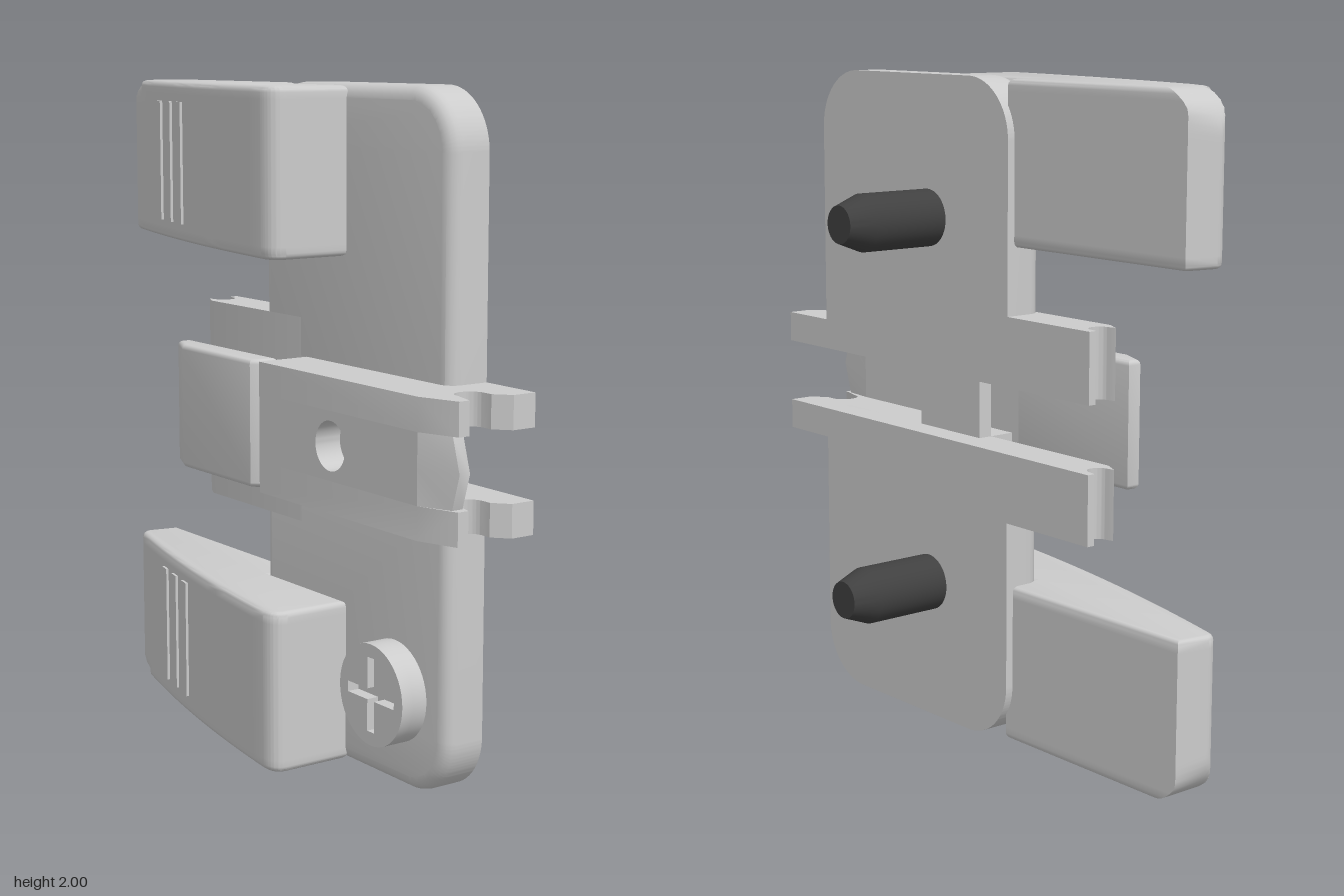
import * as THREE from 'three';
import { toCreasedNormals } from 'three/addons/utils/BufferGeometryUtils.js';

const grey = new THREE.MeshStandardMaterial({ color: 0xcccccc });
const dark = new THREE.MeshStandardMaterial({ color: 0x404040 });

function add(parent, name, geo, mat = grey) {
  const flat = geo.index ? geo.toNonIndexed() : geo;
  const mesh = new THREE.Mesh(toCreasedNormals(flat, 0.6), mat);
  mesh.name = name;
  parent.add(mesh);
  return mesh;
}

function box(x0, x1, y0, y1, z0, z1) {
  return new THREE.BoxGeometry(x1 - x0, y1 - y0, z1 - z0)
    .translate((x0 + x1) / 2, (y0 + y1) / 2, (z0 + z1) / 2);
}

function extrude(shape, length, bevel = 0, steps = 1) {
  return new THREE.ExtrudeGeometry(shape, {
    depth: length - 2 * bevel, steps, curveSegments: 24,
    bevelEnabled: bevel > 0, bevelSize: bevel, bevelThickness: bevel,
    bevelOffset: -bevel, bevelSegments: 4,
  }).translate(0, 0, bevel);
}
// Shape drawn in (x, -z), raised from y0 to y1
const upright = (shape, y0, y1, bevel, steps) =>
  extrude(shape, y1 - y0, bevel, steps).rotateX(-Math.PI / 2).translate(0, y0, 0);
// Shape drawn in (-z, y), extended from x0 to x1
const sideways = (shape, x0, x1, bevel) =>
  extrude(shape, x1 - x0, bevel).rotateY(Math.PI / 2).translate(x0, 0, 0);

const polygon = (pts) => new THREE.Shape(pts.map(([x, z]) => new THREE.Vector2(x, -z)));

function edit(geo, rule) {
  const p = geo.attributes.position, v = new THREE.Vector3();
  for (let i = 0; i < p.count; i++) {
    rule(v.fromBufferAttribute(p, i));
    p.setXYZ(i, v.x, v.y, v.z);
  }
  return geo;
}

// Reflection in the plane y = 1, with corner order put right
function mirrored(source) {
  const geo = source.index ? source.toNonIndexed() : source.clone();
  const p = geo.attributes.position, a = new THREE.Vector3(), b = new THREE.Vector3();
  edit(geo, (v) => { v.y = 2 - v.y; });
  for (let i = 0; i < p.count; i += 3) {
    a.fromBufferAttribute(p, i + 1);
    b.fromBufferAttribute(p, i + 2);
    p.setXYZ(i + 1, b.x, b.y, b.z);
    p.setXYZ(i + 2, a.x, a.y, a.z);
  }
  return geo;
}

function pair(parent, name, geo) {
  add(parent, 'upper' + name, geo);
  add(parent, 'lower' + name, mirrored(geo));
}

function plateHalf() {
  const b = -0.71, e = 0.2, r = 0.18;
  const s = new THREE.Shape();
  s.moveTo(b, 1.1);
  s.lineTo(e, 1.1);
  s.lineTo(e, 2 - r);
  s.absarc(e - r, 2 - r, r, 0, Math.PI / 2);
  s.lineTo(b + r, 2);
  s.absarc(b + r, 2 - r, r, Math.PI / 2, Math.PI);
  s.lineTo(b, 1.1);
  // rounded on the -x side only
  return edit(sideways(s, -0.105, 0.075, 0.04), (v) => { v.x = Math.min(v.x, 0.025); });
}

// Bowed outer face of the handles, in (x, -z)
const bow = new THREE.QuadraticBezierCurve(
  new THREE.Vector2(-0.36, -0.17), new THREE.Vector2(-0.295, 0.365), new THREE.Vector2(-0.14, 0.89));

function handle() {
  const s = new THREE.Shape();
  s.moveTo(-0.1, -0.23);
  s.lineTo(-0.1, 0.17);
  s.lineTo(0, 0.17);
  s.lineTo(0, 0.9);
  s.lineTo(-0.1, 0.92);
  s.quadraticCurveTo(-0.13, 0.92, -0.14, 0.89);
  for (let i = 15; i >= 0; i--) {
    const p = bow.getPoint(i / 16);
    s.lineTo(p.x, p.y);
  }
  s.quadraticCurveTo(-0.36, -0.23, -0.31, -0.23);
  s.lineTo(-0.1, -0.23);
  const r = 0.13;
  // rounds the outer back corner
  return edit(upright(s, 1.51, 1.995, 0.018, 24), (v) => {
    const d = Math.max(0, v.y - (1.995 - r));
    v.z = Math.max(v.z, -0.92 + r - Math.sqrt(Math.max(0, r * r - d * d)));
  });
}

function railProfile() {
  const s = polygon([[0.025, 0], [0.025, 0.915], [-0.05, 0.915], [-0.09, 0.87], [-0.09, 0.84]]);
  s.absarc(-0.135, -0.84, 0.045, 0, Math.PI, false);
  for (const [x, z] of [[-0.2, 0.915], [-0.235, 0.915], [-0.275, 0.79], [-0.275, 0.03], [-0.105, 0.03], [-0.105, 0]]) {
    s.lineTo(x, -z);
  }
  return s;
}

function rearRailProfile() {
  const s = polygon([[0.025, 0], [-0.105, 0], [-0.105, -0.5], [-0.08, -0.55]]);
  s.lineTo(-0.075, 0.53);
  s.absarc(-0.04, 0.53, 0.035, Math.PI, Math.PI * 2, false);
  s.lineTo(0, 0.555);
  s.lineTo(0.025, 0.555);
  return s;
}

function screwHead(parent) {
  const g = new THREE.Group();
  g.name = 'screw';
  const head = new THREE.Shape().absarc(0, 0, 0.15, 0, Math.PI * 2);
  const w = 0.016, l = 0.11;
  head.holes.push(new THREE.Path([
    [w, w], [w, l], [-w, l], [-w, w], [-l, w], [-l, -w],
    [-w, -w], [-w, -l], [w, -l], [w, -w], [l, -w], [l, w],
  ].map(([x, y]) => new THREE.Vector2(x, y))));
  add(g, 'screwHead', sideways(head, -0.19, -0.15));
  add(g, 'screwBase', new THREE.CylinderGeometry(0.15, 0.15, 0.05, 48).rotateZ(Math.PI / 2).translate(-0.127, 0, 0));
  g.position.set(0, 0.28, 0.47);
  parent.add(g);
}

export function createModel() {
  const model = new THREE.Group();
  model.name = 'latchPlate';

  pair(model, 'Plate', plateHalf());
  pair(model, 'Handle', handle());

  // Grip ribs on the bowed faces
  for (const t of [0.56, 0.65, 0.74]) {
    const p = bow.getPoint(t), d = bow.getTangent(t);
    const rib = new THREE.BoxGeometry(0.016, 0.37, 0.045)
      .rotateY(Math.atan2(-d.x, d.y)).translate(p.x, 1.75, -p.y);
    pair(model, 'GripRib', rib);
  }

  // Notched rails on both sides of the channel
  pair(model, 'FrontRail', upright(railProfile(), 1.1, 1.195));
  pair(model, 'RearRail', upright(rearRailProfile(), 1.1, 1.31));
  add(model, 'bridge', box(-0.105, -0.06, 0.9, 1.1, 0.03, 0.32));

  // Centre bar with a round hole and a pointed tip
  const bar = new THREE.Shape([[-0.79, 0.9], [-0.03, 0.9], [-0.03, 1.1], [-0.79, 1.1]]
    .map(([x, y]) => new THREE.Vector2(x, y)));
  bar.holes.push(new THREE.Path().absarc(-0.39, 1, 0.072, 0, Math.PI * 2));
  add(model, 'centreBar', sideways(bar, -0.275, -0.19));
  const tip = polygon([[-0.275, 0.79], [-0.235, 0.89], [-0.2, 0.89], [-0.19, 0.79]]);
  add(model, 'barTip', edit(upright(tip, 0.9, 1.1, 0, 2), (v) => {
    if (v.z > 0.85 && Math.abs(v.y - 1) < 0.01) v.z = 0.92;
  }));

  // Rear lever, tapered at its free end
  const lever = polygon([[-0.19, 0], [-0.19, -0.49], [-0.235, -0.49], [-0.275, -0.4], [-0.275, -0.02], [-0.25, 0]]);
  add(model, 'rearLever', upright(lever, 0.81, 1.195, 0.015));
  add(model, 'leverNeck', box(-0.245, -0.19, 0.83, 1.17, -0.02, 0.04));

  // Locating pins with tapered ends
  for (const y of [0.43, 1.57]) {
    const profile = [[0, 0], [0.087, 0], [0.087, 0.255], [0.057, 0.335], [0, 0.335]]
      .map(([r, h]) => new THREE.Vector2(r, h));
    const pin = new THREE.LatheGeometry(profile, 40).rotateZ(-Math.PI / 2).translate(0.02, y, 0.175);
    add(model, 'pin', pin, dark);
  }

  screwHead(model);
  return model;
}
